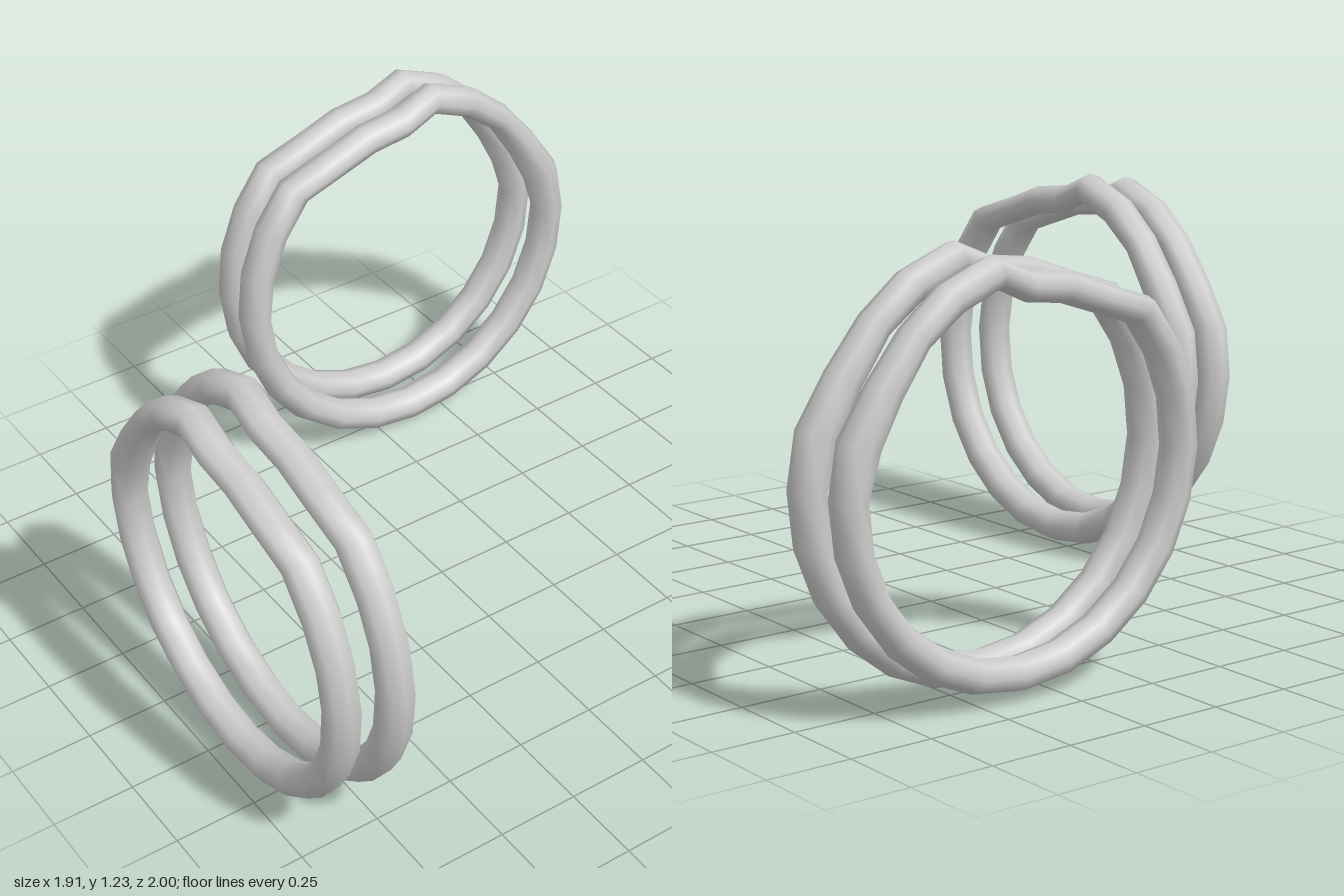
import * as THREE from 'three';

// Dented part of the loop: [angle in degrees, outer radius, inner radius]
const DENTED = [
  [45, 0.624, 0.524], [60, 0.566, 0.478], [75, 0.558, 0.468], [90, 0.556, 0.466],
  [101, 0.616, 0.52], [117, 0.608, 0.51], [132, 0.593, 0.505],
  [149, 0.592, 0.488], [165, 0.623, 0.496],
];
const OUTER = 0.623, INNER = 0.521, HALF_DEPTH = 0.056, SIDES = 8;

// Cross-sections around the whole loop
function sections() {
  const list = [[0, OUTER, INNER], [15, OUTER, INNER], [30, OUTER, INNER], ...DENTED];
  for (let a = 180; a < 360; a += 15) list.push([a, OUTER, INNER]);
  return list;
}

// Closed tube in the xy plane, leaning slightly forward at the top
function loopGeometry(scale) {
  const rings = sections(), pos = [], index = [], n = rings.length;
  for (const [deg, outer, inner] of rings) {
    const a = THREE.MathUtils.degToRad(deg);
    for (let j = 0; j < SIDES; j++) {
      const b = (j / SIDES) * Math.PI * 2;
      const r = scale * ((outer + inner) / 2 + ((outer - inner) / 2) * Math.cos(b));
      const y = r * Math.sin(a);
      pos.push(r * Math.cos(a), y, HALF_DEPTH * Math.sin(b) + 0.02 * y);
    }
  }
  for (let i = 0; i < n; i++) {
    for (let j = 0; j < SIDES; j++) {
      const i2 = (i + 1) % n, j2 = (j + 1) % SIDES;
      const p = i * SIDES + j, q = i2 * SIDES + j, s = i2 * SIDES + j2, t = i * SIDES + j2;
      index.push(p, q, s, p, s, t);
    }
  }
  const g = new THREE.BufferGeometry();
  g.setAttribute('position', new THREE.Float32BufferAttribute(pos, 3));
  g.setIndex(index);
  g.computeVertexNormals();
  return g;
}

export function createModel() {
  const model = new THREE.Group();
  model.name = 'hoopEarrings';
  const material = new THREE.MeshStandardMaterial({ color: 0xcccccc });
  const large = loopGeometry(1), small = loopGeometry(0.965);

  // A large hoop with a slightly smaller one in front of it
  const pair = (name) => {
    const group = new THREE.Group();
    group.name = name;
    const back = new THREE.Mesh(large, material);
    back.name = 'largeHoop';
    back.position.z = -0.077;
    const front = new THREE.Mesh(small, material);
    front.name = 'smallHoop';
    front.position.z = 0.077;
    group.add(back, front);
    model.add(group);
    return group;
  };

  pair('frontHoopPair').position.set(0.33, 0.625, 0.861);
  const side = pair('sideHoopPair');
  side.position.set(-0.817, 0.625, -0.376);
  side.rotation.y = -Math.PI / 2;
  return model;
}
